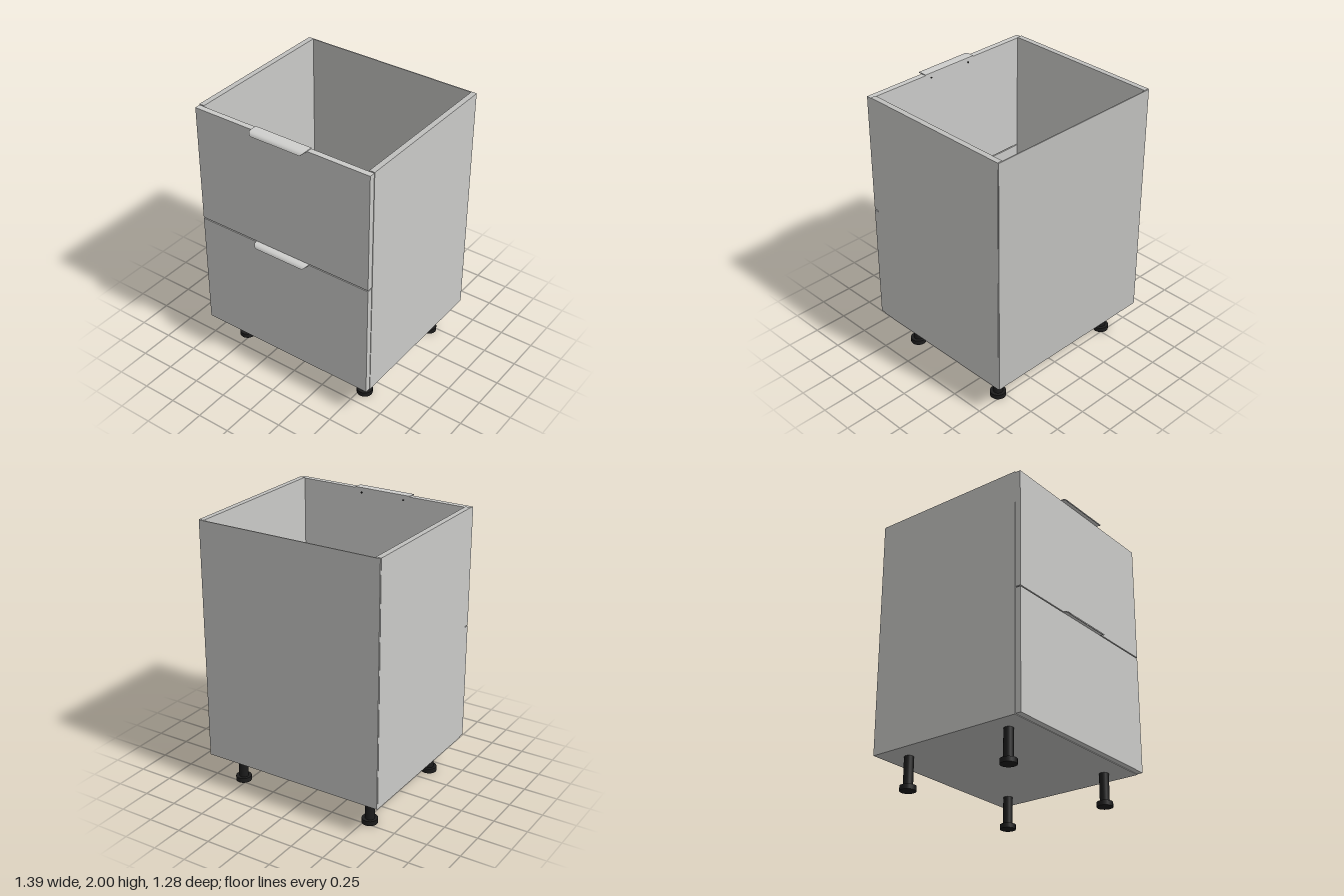
import * as THREE from 'three';
import { toCreasedNormals } from 'three/addons/utils/BufferGeometryUtils.js';

const mat = (name, color) => new THREE.MeshStandardMaterial({ name, color });

// Box given by its min and max corners
function box(name, min, max, material) {
  const size = max.map((v, i) => v - min[i]);
  const mesh = new THREE.Mesh(new THREE.BoxGeometry(...size), material);
  mesh.position.set(...max.map((v, i) => (v + min[i]) / 2));
  mesh.name = name;
  return mesh;
}

// Thin pull plate that curls down and narrows at its front lip
function handleGeometry() {
  const t = 0.006;
  // z, y, half width, and the normal (z, y) used for thickness
  const rows = [
    [0.55, 0, 0.22, 0, 1], [0.604, 0, 0.22, 0, 1], [0.618, -0.002, 0.218, 0.3, 0.95],
    [0.629, -0.007, 0.213, 0.6, 0.8], [0.636, -0.014, 0.206, 0.85, 0.5], [0.64, -0.025, 0.196, 1, 0.1],
  ];
  const top = rows.map(([z, y, w]) => [w, y, z]);
  const under = rows.map(([z, y, w, nz, ny]) => [w, y - ny * t, z - nz * t]);
  const flip = ([x, y, z]) => [-x, y, z];
  const positions = [];
  const quad = (a, b, c, d) => positions.push(...a, ...b, ...c, ...a, ...c, ...d);
  for (let i = 0; i < rows.length - 1; i++) {
    const [a, b, c, d] = [top[i], top[i + 1], under[i + 1], under[i]];
    quad(flip(a), flip(b), b, a);
    quad(d, c, flip(c), flip(d));
    quad(a, b, c, d);
    quad(flip(d), flip(c), flip(b), flip(a));
  }
  const e = rows.length - 1;
  quad(flip(top[e]), flip(under[e]), under[e], top[e]);
  quad(top[0], under[0], flip(under[0]), flip(top[0]));
  const g = new THREE.BufferGeometry();
  g.setAttribute('position', new THREE.Float32BufferAttribute(positions, 3));
  return toCreasedNormals(g, 0.8);
}

export function createModel() {
  const model = new THREE.Group();
  model.name = 'drawerCabinet';
  const panel = mat('panelGrey', 0xcacac8);
  const inner = mat('carcassGrey', 0xbfbfbd);
  const metal = mat('handleGrey', 0xcfcfcd);
  const black = mat('legBlack', 0x1c1c1c);

  // Carcass, open at the top
  const sideMaterials = [panel, panel, inner, inner, panel, panel];
  model.add(box('leftSide', [0.655, 0.24, -0.632], [0.695, 2, 0.55], sideMaterials));
  model.add(box('rightSide', [-0.695, 0.24, -0.632], [-0.655, 2, 0.55], sideMaterials));
  model.add(box('bottom', [-0.655, 0.24, -0.632], [0.655, 0.28, 0.55], inner));
  model.add(box('backPanel', [-0.692, 0.242, -0.64], [0.692, 1.998, -0.632], inner));

  // Drawer fronts, each with a pull plate on its top edge and two fixing screws behind
  const handle = handleGeometry();
  const screw = new THREE.CylinderGeometry(0.006, 0.006, 0.006, 12).rotateX(Math.PI / 2);
  for (const [name, y0, y1] of [['lower', 0.244, 1.115], ['upper', 1.123, 1.994]]) {
    model.add(box(name + 'DrawerFront', [-0.692, y0, 0.551], [0.692, y1, 0.593], panel));
    const pull = new THREE.Mesh(handle, metal);
    pull.name = name + 'Handle';
    pull.position.y = y1 + 0.006;
    model.add(pull);
    for (const x of [-0.17, 0.17]) {
      const s = new THREE.Mesh(screw, black);
      s.name = name + 'HandleScrew';
      s.position.set(x, y1 - 0.03, 0.549);
      model.add(s);
    }
  }

  // Four legs with wider feet
  const shaft = new THREE.CylinderGeometry(0.034, 0.034, 0.21, 20);
  const foot = new THREE.CylinderGeometry(0.057, 0.057, 0.035, 20);
  for (const x of [-0.535, 0.535]) for (const z of [0.377, -0.463]) {
    const leg = new THREE.Group();
    leg.name = 'leg';
    for (const [name, geometry, y] of [['legShaft', shaft, 0.135], ['legFoot', foot, 0.0175]]) {
      const m = new THREE.Mesh(geometry, black);
      m.name = name;
      m.position.y = y;
      leg.add(m);
    }
    leg.position.set(x, 0, z);
    model.add(leg);
  }
  return model;
}
